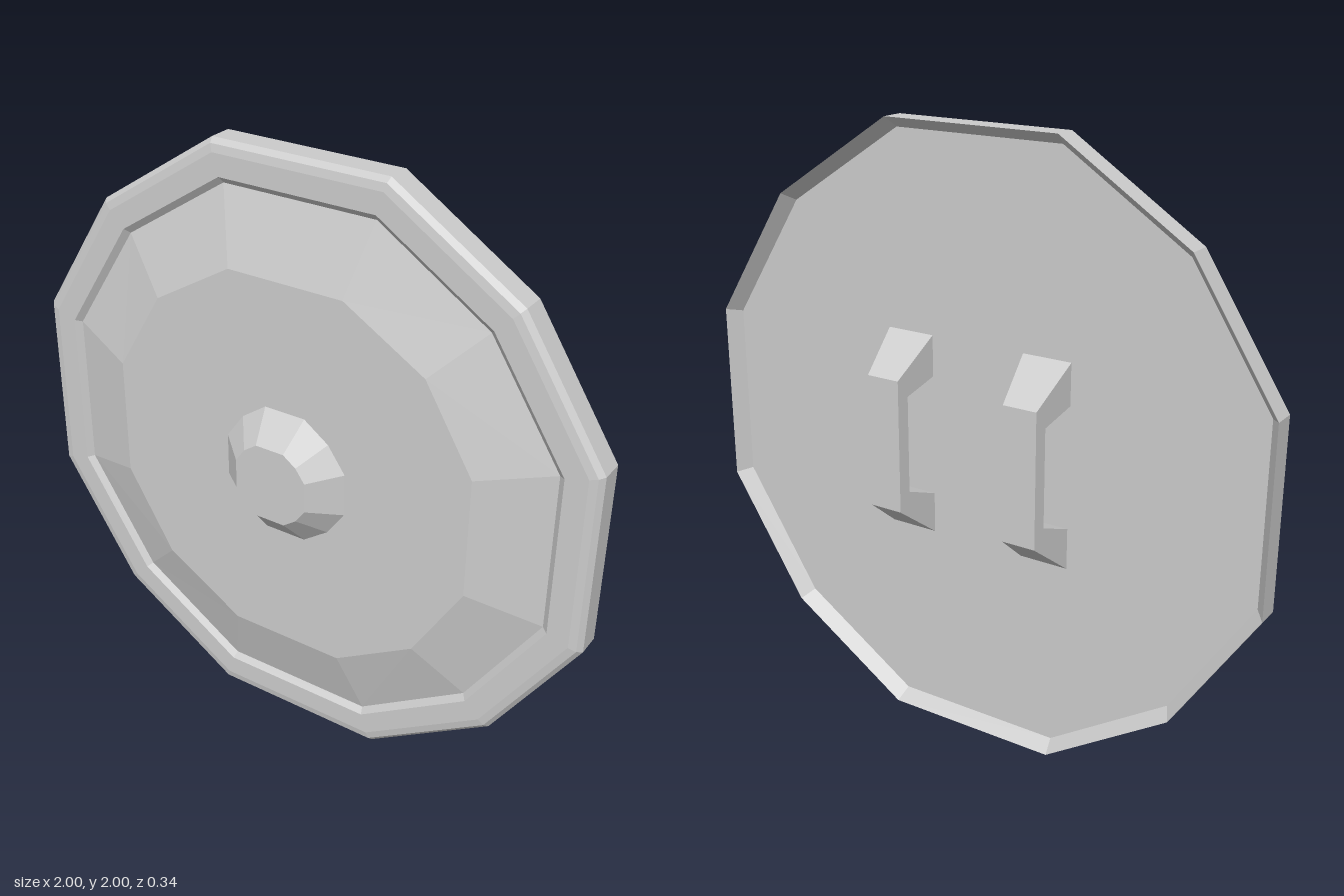
import * as THREE from 'three';

const material = new THREE.MeshStandardMaterial({ color: 0xcccccc, flatShading: true });

// Twelve-sided ring: a = distance to the flat, z = depth,
// c = half length of the flat, d = diagonal corner coordinate.
function ring([a, z, c = 0.3 * a, d = 0.725 * a]) {
  const points = [];
  for (let q = 0; q < 4; q++) {
    for (const [x, y] of [[a, c], [d, d], [c, a]]) {
      const p = new THREE.Vector3(x, y, z);
      p.applyAxisAngle(new THREE.Vector3(0, 0, 1), q * Math.PI / 2);
      points.push(p);
    }
  }
  return points;
}

// Joins rings, listed from the back to the front, into a flat-shaded skin.
function loft(name, profile) {
  const rings = profile.map(ring);
  const corners = [];
  for (let i = 0; i < rings.length - 1; i++) {
    const A = rings[i], B = rings[i + 1];
    for (let j = 0; j < 12; j++) {
      const k = (j + 1) % 12;
      if (profile[i][0] > 0) corners.push(A[j], A[k], B[k]);
      if (profile[i + 1][0] > 0) corners.push(A[j], B[k], B[j]);
    }
  }
  // A point-ended fan needs its remaining triangle closed on the centre
  const geometry = new THREE.BufferGeometry().setFromPoints(corners);
  geometry.computeVertexNormals();
  const mesh = new THREE.Mesh(geometry, material);
  mesh.name = name;
  return mesh;
}

// U-shaped grip, narrowing towards its back face
function handle(name, x) {
  const shape = new THREE.Shape([
    [0.015, 0.335], [0.165, 0.22], [0.165, -0.22], [0.015, -0.335],
    [0.015, -0.2], [0.125, -0.16], [0.125, 0.16], [0.015, 0.2],
  ].map(([u, v]) => new THREE.Vector2(u, v)));
  const geometry = new THREE.ExtrudeGeometry(shape, { depth: 2, bevelEnabled: false });
  geometry.translate(0, 0, -1);
  geometry.rotateY(Math.PI / 2); // depth becomes x, shape u becomes -z
  const p = geometry.attributes.position;
  for (let i = 0; i < p.count; i++) {
    const t = THREE.MathUtils.clamp((-p.getZ(i) - 0.065) / 0.105, -0.5, 1);
    p.setX(i, p.getX(i) * (0.075 - 0.018 * t));
  }
  geometry.computeVertexNormals();
  const mesh = new THREE.Mesh(geometry, material);
  mesh.name = name;
  mesh.position.set(x, 0, -0.005);
  return mesh;
}

export function createModel() {
  const shield = new THREE.Group();
  shield.name = 'roundShield';

  // Recessed back panel, sloping lip, outer edge and raised front border
  shield.add(loft('backPanel', [[0, -0.02], [0.965, -0.02]]));
  shield.add(loft('rim', [
    [0.965, -0.02], [1, -0.067], [1, 0.01], [0.985, 0.026],
    [0.96, 0.031], [0.89, 0.031], [0.87, 0.014],
  ]));

  // Raised face and central boss
  shield.add(loft('face', [[0.87, 0.014], [0.64, 0.086, 0.2, 0.475], [0, 0.086]]));
  shield.add(loft('boss', [
    [0.225, 0.08, 0.073, 0.162], [0.127, 0.168, 0.05, 0.095], [0, 0.168],
  ]));

  // Pair of grips on the back
  for (const [name, side] of [['leftHandle', 1], ['rightHandle', -1]]) {
    shield.add(handle(name, 0.25 * side));
  }

  for (const part of shield.children) part.position.y = 1;
  const model = new THREE.Group();
  model.name = 'model';
  model.add(shield);
  return model;
}
